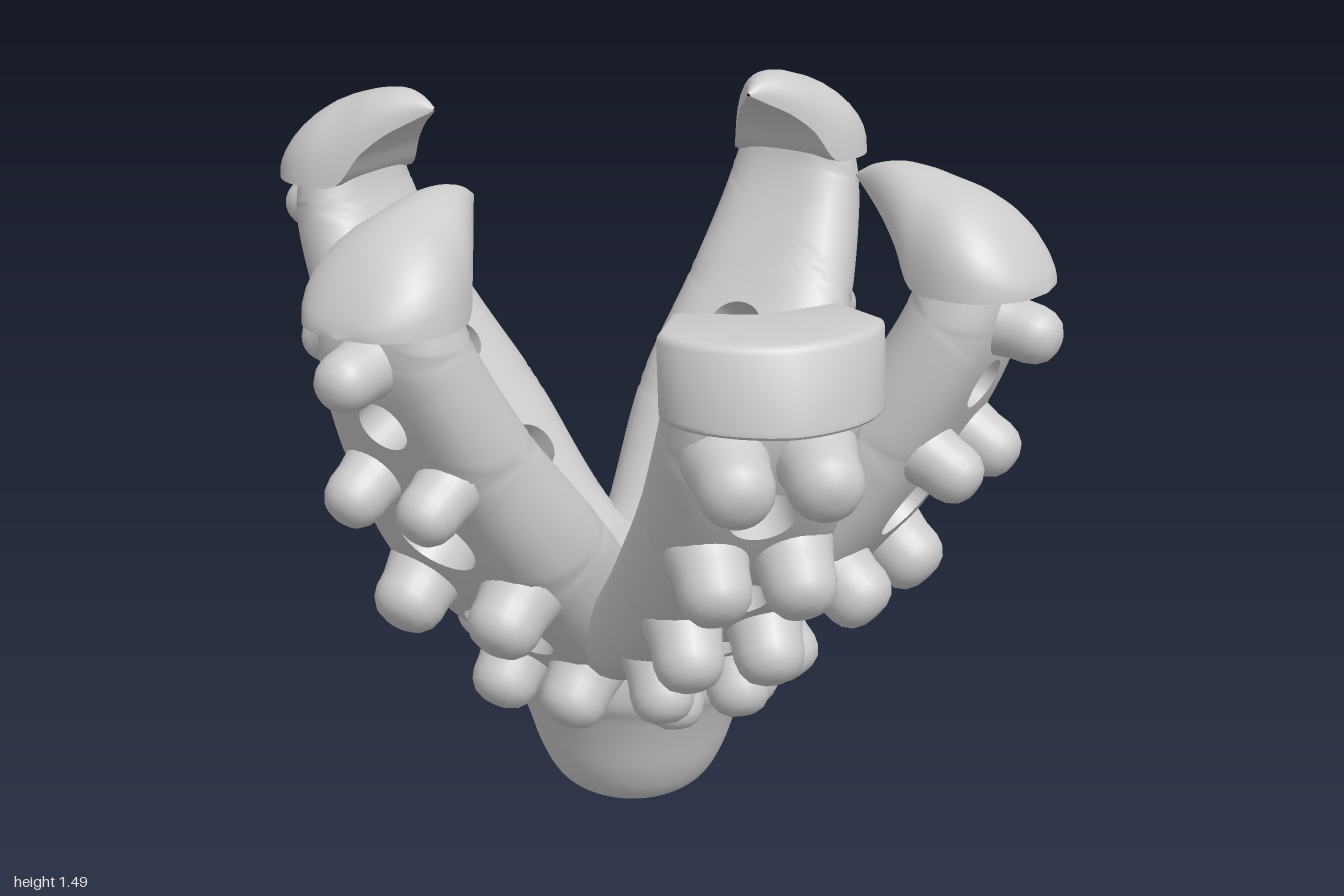
import * as THREE from 'three';
import { toCreasedNormals } from 'three/addons/utils/BufferGeometryUtils.js';

const mat = new THREE.MeshStandardMaterial({ color: 0xcccccc });

function named(geometry, name) {
  const m = new THREE.Mesh(geometry, mat);
  m.name = name;
  return m;
}

// Smooths all but the sharp edges; enlarged meanwhile, as creasing welds at a coarse step
function creased(geometry, angle) {
  return toCreasedNormals(geometry.scale(100, 100, 100), angle).scale(0.01, 0.01, 0.01);
}

// Collects quads of points
class Surface {
  constructor() { this.pos = []; }
  quad(a, b, c, d) {
    for (const p of [a, b, c, a, c, d]) this.pos.push(p.x, p.y, p.z);
  }
  mesh(name, angle) {
    const g = new THREE.BufferGeometry();
    g.setAttribute('position', new THREE.Float32BufferAttribute(this.pos, 3));
    return named(creased(g, angle), name);
  }
}

const curve = (pts) => new THREE.CatmullRomCurve3(pts.map(([a, b, c = 0]) => new THREE.Vector3(c, b, a)));

// Round-headed stud with a small flare at its foot
function stud(R) {
  const pts = [[1.15, -0.03], [1.05, 0.005], [1, 0.025], [0.99, 0.055], [0.9, 0.078], [0.7, 0.096], [0.4, 0.106], [0.15, 0.108], [0, 0.108]]
    .map(([r, y]) => new THREE.Vector2(r * R, y));
  return named(new THREE.LatheGeometry(pts, 24), 'stud');
}

// Curved arm: outer and inner profiles [outward, up], half widths, one hole per cell
function makeArm({ outer, inner, widths, holes, studs, squareness }) {
  const arm = new THREE.Group();
  const n = outer.length - 1;
  const O = curve(outer), I = curve(inner), W = curve(widths.map((w, i) => [i, w]));
  const point = (a, v, side) => {
    const t = THREE.MathUtils.clamp(v / n, 0, 1);
    const u = Math.sin(a * Math.PI / 2), k = Math.abs(u);
    const w = side
      ? 0.55 + 0.45 * Math.pow(Math.max(0, 1 - k ** squareness), 0.55)
      : 0.55 - 0.55 * Math.sqrt(Math.max(0, 1 - k ** 5));
    const p = O.getPoint(t).lerp(I.getPoint(t), w);
    p.x = u * W.getPoint(t).y;
    return p;
  };

  // Each cell is a ring patch from its round hole out to its straight border
  const body = new Surface(), walls = new Surface(), per = 10, rings = 7, count = per * 4;
  for (let c = 0; c < n; c++) {
    // A blind hole has no inner radius
    const [outerR, innerR] = holes[c] || [0, 0];
    const len = O.getPoint((c + 1) / n).distanceTo(O.getPoint(c / n));
    const width = W.getPoint((c + 0.5) / n).y;
    const at = (j, s, side) => {
      const q = (j % count) / per, e = Math.floor(q), f = (q - e) * 2 - 1;
      const [bx, by] = [[f, -1], [1, f], [-f, 1], [-1, -f]][e];
      const th = Math.atan2(by, bx), R = side ? innerR : outerR;
      const hx = Math.asin(R * Math.cos(th) / width) * 2 / Math.PI, hv = R * Math.sin(th) / len;
      return point(hx + (bx - hx) * s, c + 0.5 + hv + (by / 2 - hv) * s, side);
    };
    for (let j = 0; j < count; j++) {
      for (let i = 0; i < rings; i++) {
        const s0 = i / rings, s1 = (i + 1) / rings;
        body.quad(at(j, s0, 0), at(j, s1, 0), at(j + 1, s1, 0), at(j + 1, s0, 0));
        body.quad(at(j + 1, s0, 1), at(j + 1, s1, 1), at(j, s1, 1), at(j, s0, 1));
      }
      // Hole wall, closed by a floor where the hole is blind
      if (outerR) {
        const a = at(j, 0, 0), b = at(j + 1, 0, 0);
        if (innerR) walls.quad(a, b, at(j + 1, 0, 1), at(j, 0, 1));
        else {
          const top = point(0, c + 0.5, 0), floor = top.clone().lerp(point(0, c + 0.5, 1), 0.35);
          const drop = floor.clone().sub(top);
          const a2 = a.clone().add(drop), b2 = b.clone().add(drop);
          walls.quad(a, b, b2, a2);
          walls.quad(floor, a2, b2, floor);
        }
      }
    }
  }
  arm.add(body.mesh('armBody', Math.PI), walls.mesh('holeWalls', 0.9));

  // Studs stand square to the outer face
  for (const [k, half, R] of studs) {
    const t = O.getPoint(k / n + 0.01).sub(O.getPoint(k / n - 0.01)).normalize();
    const normal = new THREE.Vector3(0, -t.z, t.y);
    for (const x of half ? [-half, half] : [0]) {
      const s = stud(R);
      s.position.copy(O.getPoint(k / n)).setX(x);
      s.quaternion.setFromUnitVectors(new THREE.Vector3(0, 1, 0), normal);
      arm.add(s);
    }
  }
  return arm;
}

// Claw-like cap: domed sections with a flat underside, from the tip outwards
function hook() {
  const rows = [ // outward, bottom, top, half width
    [0.525, 1.45, 1.456, 0.004], [0.56, 1.43, 1.477, 0.028], [0.61, 1.4, 1.489, 0.065], [0.66, 1.355, 1.486, 0.1],
    [0.71, 1.285, 1.475, 0.13], [0.78, 1.28, 1.452, 0.152], [0.84, 1.28, 1.415, 0.146], [0.89, 1.28, 1.362, 0.114],
    [0.92, 1.28, 1.315, 0.072], [0.933, 1.28, 1.281, 0.003]];
  const c = curve(rows), w = curve(rows.map((r) => [r[0], r[3]]));
  const s = new Surface(), steps = 36, seg = 32;
  const at = (i, j) => {
    const p = c.getPoint(i / steps), th = (j / seg) * Math.PI * 2;
    const up = Math.max(0, Math.sin(th)) ** 0.8;
    return new THREE.Vector3(w.getPoint(i / steps).y * Math.cos(th), p.y + (p.x - p.y) * up, p.z);
  };
  for (let i = 0; i < steps; i++)
    for (let j = 0; j < seg; j++) s.quad(at(i, j), at(i, j + 1), at(i + 1, j + 1), at(i + 1, j));
  return s.mesh('hookCap', 0.8);
}

// Squared cap with a notched inner edge and a sloping, bowed outer face
function squareCap() {
  const b = 0.014, s = new THREE.Shape();
  s.moveTo(-0.135, -0.75);
  s.lineTo(-0.176, -0.86);
  s.bezierCurveTo(-0.165, -0.94, -0.06, -0.985, 0, -0.987);
  s.bezierCurveTo(0.06, -0.985, 0.165, -0.94, 0.176, -0.86);
  s.lineTo(0.135, -0.75);
  s.lineTo(0, -0.795);
  const g = new THREE.ExtrudeGeometry(s, { depth: 0.145 - 2 * b, bevelSize: b, bevelThickness: b, bevelSegments: 3, curveSegments: 10 });
  g.rotateX(-Math.PI / 2).translate(0, 1.265 + b, 0.3);
  // Lean the outer face back
  const p = g.attributes.position;
  for (let i = 0; i < p.count; i++) {
    const k = (p.getY(i) - 1.265) / 0.145;
    p.setZ(i, 1.035 + (p.getZ(i) - 1.035) * (1 - 0.18 * k));
  }
  return named(creased(g, 0.6), 'squareCap');
}

export function createModel() {
  const model = new THREE.Group();
  model.name = 'fiveArmClaw';

  // Bulb-shaped hub
  const profile = new THREE.SplineCurve([[0, 0], [0.09, 0.006], [0.16, 0.042], [0.202, 0.11], [0.232, 0.2], [0.258, 0.27],
    [0.28, 0.32], [0.28, 0.4], [0.262, 0.5], [0.21, 0.58], [0.1, 0.575], [0, 0.565]].map(([x, y]) => new THREE.Vector2(x, y)));
  const pts = profile.getPoints(48);
  pts.forEach((p) => { p.x = Math.max(0, p.x); p.y = Math.max(0, p.y); });
  const hub = named(new THREE.LatheGeometry(pts, 48), 'hub');
  hub.position.z = -0.28;
  model.add(hub);

  // Four diagonal arms with hooked ends
  for (const side of [1, -1]) {
    for (const front of [true, false]) {
      const arm = makeArm({
        outer: [[0.15, 0.25], [0.31, 0.395], [0.575, 0.665], [0.75, 0.945], [0.855, 1.205], [0.85, 1.33]],
        inner: [[0, 0.53], [0.17, 0.635], [0.38, 0.84], [0.56, 1.05], [0.685, 1.26], [0.705, 1.38]],
        widths: [0.15, 0.19, 0.235, 0.198, 0.153, 0.122],
        holes: [null, [0.098, 0.072], [0.085, 0.062], [0.052, 0], null],
        studs: [[1, 0.087, 0.072], [2, 0.115, 0.074], [3, 0.085, 0.061], [4, 0, 0.058]],
        squareness: 3.5,
      });
      arm.add(hook());
      arm.name = front ? 'frontDiagonalArm' : 'backDiagonalArm';
      arm.position.z = -0.3;
      arm.rotation.y = side * (front ? 0.79 : Math.PI - 0.75);
      if (!front) arm.scale.set(1, 1, 0.97);
      model.add(arm);
    }
  }

  // Straight front arm with a squared end
  const front = makeArm({
    outer: [[0.2, 0.34], [0.42, 0.445], [0.635, 0.572], [0.85, 0.74], [1.035, 0.95], [1.165, 1.175], [1.19, 1.33]],
    inner: [[0.1, 0.5], [0.3, 0.58], [0.5, 0.72], [0.71, 0.91], [0.85, 1.05], [1.0, 1.25], [1.075, 1.39]],
    widths: [0.165, 0.175, 0.178, 0.176, 0.173, 0.17, 0.16],
    holes: [null, [0.06, 0.06], [0.06, 0.06], [0.06, 0.06], [0.06, 0.06], null],
    studs: [[1, 0, 0.06], [2, 0.075, 0.063], [3, 0.075, 0.066], [4, 0.075, 0.066], [5, 0.075, 0.066]],
    squareness: 7,
  });
  front.add(squareCap());
  front.name = 'frontArm';
  front.position.z = -0.3;
  model.add(front);

  return model;
}
